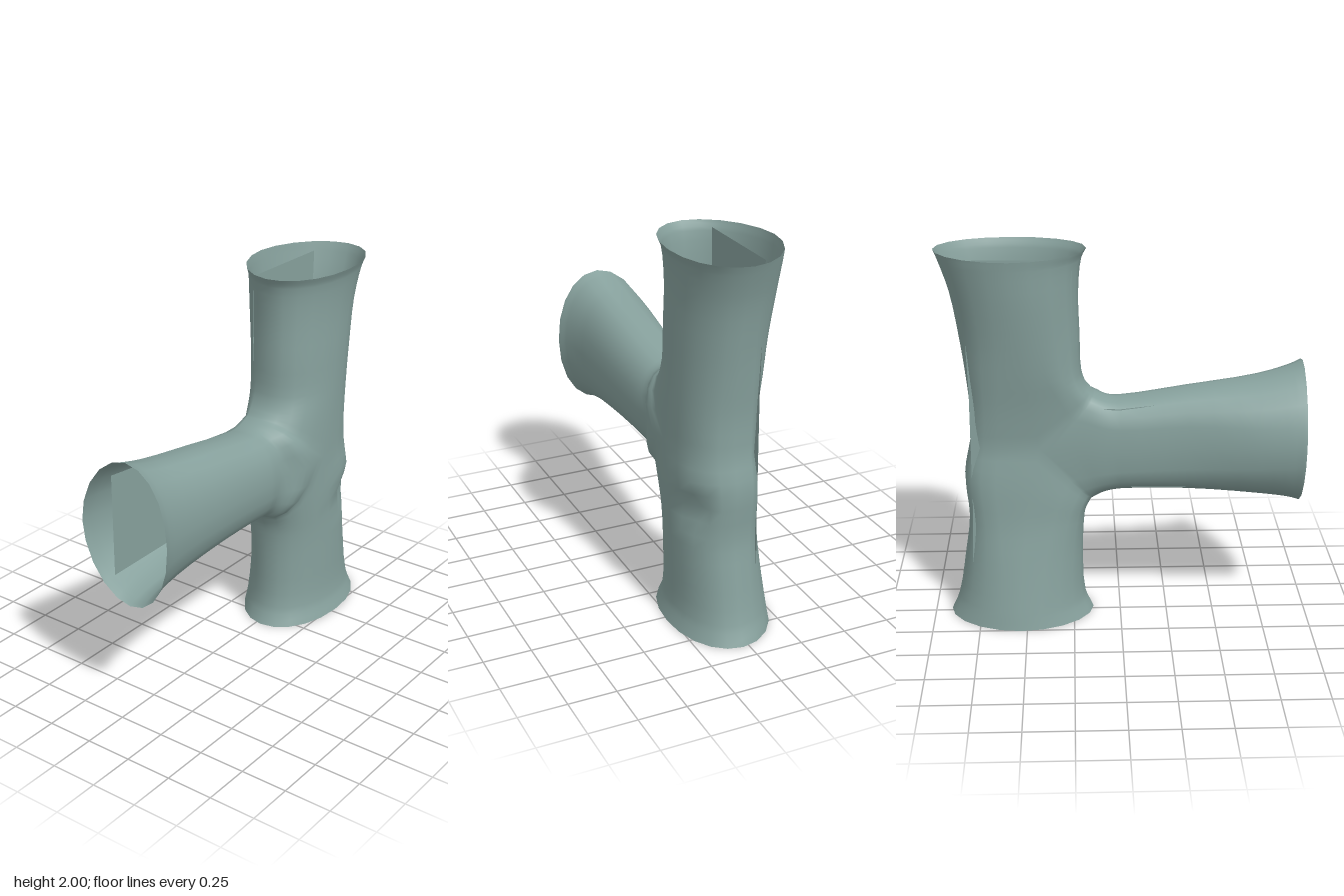
import * as THREE from 'three';
import { mergeVertices } from 'three/addons/utils/BufferGeometryUtils.js';

const HALF = 10; // points from the front seam to the back seam
const STEPS = 3; // rings between neighbouring sections

// Section: two side points [x, y], the seam point [x, y], front z, back z,
// and the roundness of the back (1 = ellipse, lower = boxier)
const sec = (a, b, m, front, back, p) => ({ a, b, m, front, back, p });

// The three walls that meet at the junction
const R = [0.785, 0.98], U = [0.14, 1.25], D = [0.15, 0.67], M = [0.42, 0.98];
const junction = (a, b) => sec(a, b, M, 0.243, -0.122, 0.45);

const vertical = (y, left, right, front, back, p, up) => {
  const l = [left, y], r = [right, y], m = [(left + right) / 2, y];
  return up ? sec(r, l, m, front, back, p) : sec(l, r, m, front, back, p);
};
const side = (x, top, bottom, front, back, p) =>
  sec([x, top], [x, bottom], [x, (top + bottom) / 2], front, back, p);

const legs = [
  [ // upper leg
    vertical(2, 0.17, 0.94, 0.278, -0.277, 1.08, true),
    vertical(1.95, 0.195, 0.92, 0.258, -0.27, 1.05, true),
    vertical(1.78, 0.212, 0.865, 0.24, -0.25, 0.98, true),
    vertical(1.55, 0.207, 0.825, 0.24, -0.215, 0.9, true),
    vertical(1.36, 0.2, 0.8, 0.24, -0.182, 0.72, true),
    sec([0.782, 1.17], [0.175, 1.29], [0.46, 1.19], 0.242, -0.15, 0.56),
    junction(R, U),
  ],
  [ // lower leg
    vertical(0, 0.145, 0.915, 0.275, -0.257, 1.05, false),
    vertical(0.1, 0.188, 0.872, 0.245, -0.24, 1, false),
    vertical(0.35, 0.2, 0.828, 0.24, -0.195, 0.88, false),
    vertical(0.55, 0.19, 0.802, 0.24, -0.16, 0.68, false),
    sec([0.175, 0.62], [0.818, 0.8], [0.47, 0.76], 0.244, -0.145, 0.56),
    junction(D, R),
  ],
  [ // side branch
    side(-0.945, 1.4, 0.63, 0.272, -0.258, 1.08),
    side(-0.89, 1.375, 0.652, 0.25, -0.255, 1),
    side(-0.72, 1.325, 0.682, 0.222, -0.24, 0.9),
    side(-0.35, 1.265, 0.717, 0.215, -0.175, 0.72),
    side(0, 1.213, 0.72, 0.205, -0.15, 0.64),
    sec([0.07, 1.218], [0.08, 0.707], [0.12, 0.97], 0.198, -0.142, 0.58),
    sec([0.115, 1.235], [0.125, 0.687], [0.25, 0.98], 0.247, -0.13, 0.5),
    junction(U, D),
  ],
];

// Ring running front -> side a -> back -> side b
function ring(s) {
  const z0 = 0.03;
  return Array.from({ length: HALF * 2 }, (_, j) => {
    const half = j <= HALF;
    const t = Math.PI * (half ? j : 2 * HALF - j) / HALF;
    const w = half ? s.a : s.b;
    const c = Math.cos(t), p = c < -1e-6 ? s.p : 0.5 + 0.45 * Math.min(1, s.p + 0.25);
    const k = Math.pow(Math.abs(Math.sin(t)), p);
    const d = Math.abs(c) < 1e-6 ? 0 : Math.pow(Math.abs(c), p);
    return new THREE.Vector3(
      s.m[0] + (w[0] - s.m[0]) * k,
      s.m[1] + (w[1] - s.m[1]) * k,
      z0 + d * ((c > 0 ? s.front : s.back) - z0)
    );
  });
}

// Worn dent and lump on the front wall
function weather(v) {
  if (v.z <= 0) return;
  const g = (x, y, r) => Math.exp(-((v.x - x) ** 2 + (v.y - y) ** 2) / (r * r));
  v.z += v.z * (0.08 * g(0.66, 0.83, 0.09) - 0.28 * g(0.69, 0.69, 0.08));
}

function buildShell() {
  const pos = [], idx = [], n = HALF * 2;
  for (const leg of legs) {
    const rings = leg.map(ring), count = (leg.length - 1) * STEPS, base = pos.length / 3;
    const curves = rings[0].map((_, j) => new THREE.CatmullRomCurve3(rings.map(r => r[j])));
    for (let i = 0; i <= count; i++) {
      for (const curve of curves) {
        const v = curve.getPoint(i / count);
        weather(v);
        pos.push(v.x, v.y, v.z);
      }
    }
    for (let i = 0; i < count; i++) {
      for (let j = 0; j < n; j++) {
        const k = (j + 1) % n, o = base + i * n, q = o + n;
        idx.push(q + j, q + k, o + k, q + j, o + k, o + j);
      }
    }
  }
  const raw = new THREE.BufferGeometry();
  raw.setAttribute('position', new THREE.Float32BufferAttribute(pos, 3));
  raw.setIndex(idx);
  const geo = mergeVertices(raw, 1e-4);
  geo.computeVertexNormals();
  return geo;
}

export function createModel() {
  const group = new THREE.Group();
  group.name = 'tunnelJunction';
  const stone = new THREE.MeshStandardMaterial({ color: 0x87a19d, side: THREE.DoubleSide });
  stone.name = 'greyGreenStone';

  const shell = new THREE.Mesh(buildShell(), stone);
  shell.name = 'tunnelWall';
  group.add(shell);

  // Flat T-shaped floor inside the tunnel
  const outline = [
    [0.25, 0.04], [0.795, 0.04], [0.775, 0.6], [0.775, 1.3], [0.8, 1.97], [0.245, 1.97],
    [0.245, 1.19], [0, 1.185], [-0.9, 1.28], [-0.9, 0.74], [0, 0.755], [0.25, 0.755],
  ].map(([x, y]) => new THREE.Vector2(x, y));
  const floor = new THREE.Mesh(new THREE.ShapeGeometry(new THREE.Shape(outline)), stone);
  floor.position.z = -0.1;
  floor.name = 'floor';
  group.add(floor);
  return group;
}
